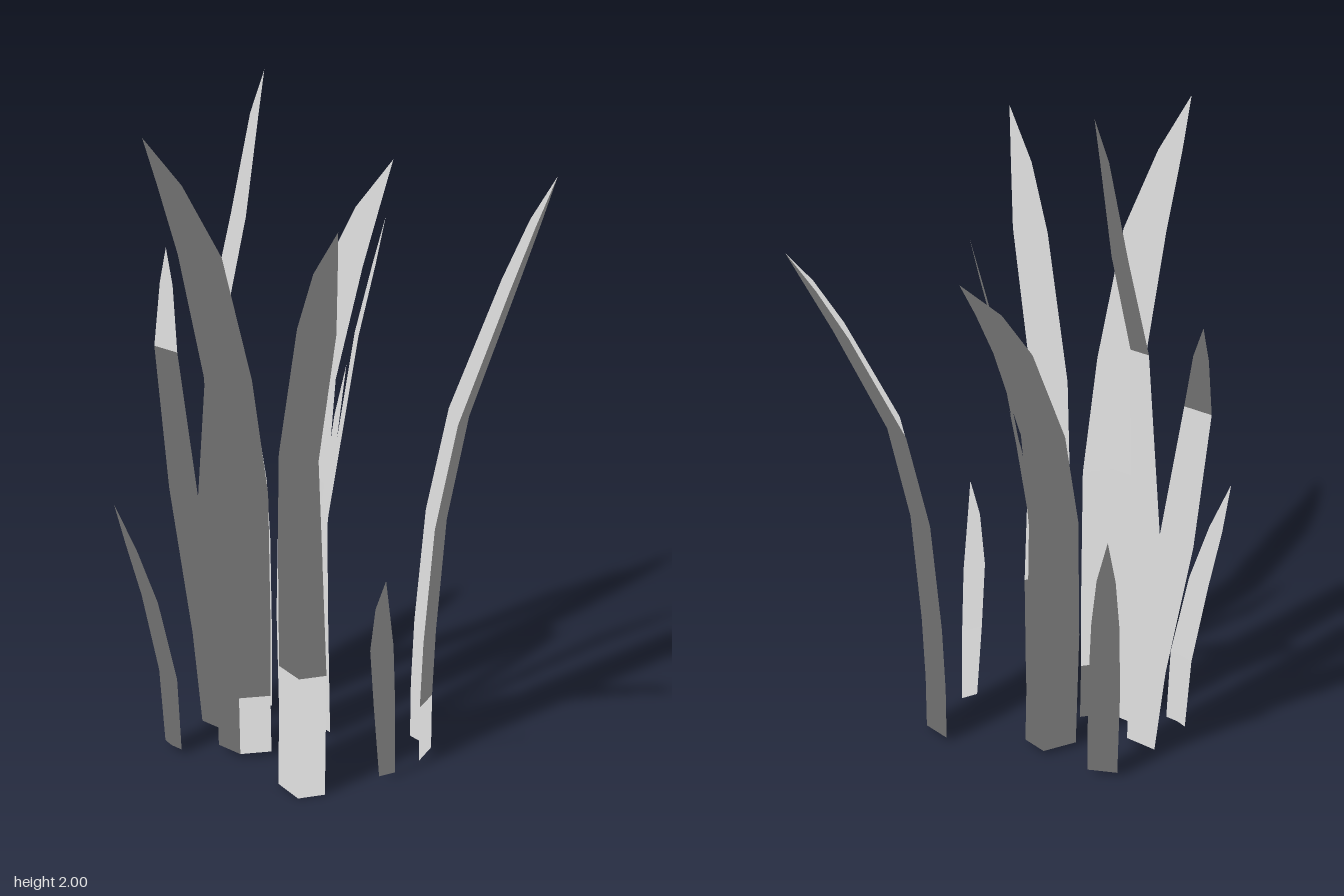
import * as THREE from 'three';

const material = new THREE.MeshStandardMaterial({ color: 0xcccccc, side: THREE.DoubleSide });

// A folded leaf: left and right are the [x, z] offsets of the edges from the fold,
// path lists the fold as [x, y, z, width scale], ending in a point.
// Normals point up for even foliage shading, tipped a little against the lean.
function blade(name, left, right, path) {
  const positions = [];
  const normals = [];
  const sections = path.map(([x, y, z, s]) => [
    new THREE.Vector3(x + left[0] * s, y, z + left[1] * s),
    new THREE.Vector3(x, y, z),
    new THREE.Vector3(x + right[0] * s, y, z + right[1] * s),
  ]);
  const edge1 = new THREE.Vector3();
  const edge2 = new THREE.Vector3();
  function triangle(a, b, c, normal) {
    // Wind each face so its front is the side that looks up
    const up = edge1.subVectors(b, a).cross(edge2.subVectors(c, a)).y >= 0;
    for (const p of up ? [a, b, c] : [a, c, b]) {
      positions.push(p.x, p.y, p.z);
      normals.push(normal.x, normal.y, normal.z);
    }
  }
  for (let i = 1; i < sections.length; i++) {
    const low = sections[i - 1];
    const high = sections[i];
    const lean = new THREE.Vector3().subVectors(high[1], low[1]).setY(0).normalize();
    const normal = new THREE.Vector3(0, 1, 0).addScaledVector(lean, -0.02).normalize();
    for (let k = 0; k < 2; k++) {
      triangle(low[k], low[k + 1], high[k + 1], normal);
      if (path[i][3] > 0) triangle(low[k], high[k + 1], high[k], normal);
    }
  }
  const geometry = new THREE.BufferGeometry();
  geometry.setAttribute('position', new THREE.Float32BufferAttribute(positions, 3));
  geometry.setAttribute('normal', new THREE.Float32BufferAttribute(normals, 3));
  const mesh = new THREE.Mesh(geometry, material);
  mesh.name = name;
  return mesh;
}

function fork(name, ...prongs) {
  const group = new THREE.Group();
  group.name = name;
  group.add(...prongs);
  return group;
}

export function createModel() {
  const grass = new THREE.Group();
  grass.name = 'grassTuft';

  // Four tall folded blades leaning outward
  grass.add(
    blade('frontLeftBlade', [-0.095, -0.025], [0.045, -0.065], [
      [0.174, 0, 0.31, 1], [0.175, 0.38, 0.305, 1], [0.18, 0.8, 0.32, 0.9], [0.2, 1.05, 0.345, 0.8],
      [0.335, 1.46, 0.43, 0.75], [0.405, 1.64, 0.475, 0.45], [0.477, 1.78, 0.507, 0]]),
    blade('frontBlade', [-0.085, 0], [0.06, -0.07], [
      [-0.1, 0.015, 0.249, 1], [-0.101, 0.2, 0.25, 1], [-0.097, 0.47, 0.252, 1], [-0.085, 0.85, 0.27, 1],
      [-0.086, 1.2, 0.31, 0.85], [-0.095, 1.57, 0.4, 0.75], [-0.115, 1.78, 0.48, 0.42], [-0.13, 1.92, 0.55, 0]]),
    blade('backBlade', [0.08, 0.015], [-0.05, 0.095], [
      [-0.06, 0.015, -0.033, 1], [-0.07, 0.4, -0.035, 1], [-0.09, 0.8, -0.06, 0.92], [-0.1, 1.1, -0.12, 0.8],
      [-0.101, 1.4, -0.25, 0.68], [-0.098, 1.55, -0.34, 0.45], [-0.085, 1.67, -0.425, 0]]),
    blade('backLeftBlade', [0.02, 0.085], [-0.09, -0.015], [
      [0.305, 0.015, -0.14, 1], [0.304, 0.19, -0.141, 1], [0.31, 0.4, -0.145, 1], [0.325, 0.75, -0.165, 0.95],
      [0.35, 1.05, -0.225, 0.9], [0.387, 1.4, -0.39, 0.72], [0.395, 1.56, -0.48, 0.48], [0.397, 1.68, -0.55, 0]]),
  );

  // Three short blades
  grass.add(
    blade('shortLeftBlade', [-0.012, 0.025], [0.01, -0.022], [
      [0.302, 0.015, 0.062, 1], [0.304, 0.25, 0.08, 1.3], [0.32, 0.45, 0.115, 1.4],
      [0.35, 0.6, 0.155, 0.8], [0.38, 0.7, 0.18, 0]]),
    blade('shortBackRightBlade', [-0.04, 0.02], [0.04, -0.02], [
      [-0.26, 0.015, -0.01, 1], [-0.265, 0.3, -0.015, 1.05], [-0.29, 0.55, -0.05, 0.9],
      [-0.315, 0.72, -0.085, 0.6], [-0.343, 0.87, -0.12, 0]]),
    blade('shortFrontRightBlade', [-0.035, -0.01], [0.04, 0], [
      [-0.29, 0.015, 0.34, 1], [-0.297, 0.25, 0.348, 1.1], [-0.325, 0.5, 0.385, 1],
      [-0.35, 0.67, 0.425, 0.65], [-0.37, 0.81, 0.462, 0]]),
  );

  // Flat forked leaf on the right
  grass.add(fork('rightForkedLeaf',
    blade('tallProng', [-0.05, 0], [0.05, 0], [
      [-0.245, 0.015, 0.174, 0.5], [-0.255, 0.3, 0.176, 0.7], [-0.265, 0.75, 0.177, 1], [-0.23, 1.3, 0.178, 0.62],
      [-0.212, 1.6, 0.1, 0.55], [-0.185, 1.88, 0.06, 0.3], [-0.165, 2, 0.04, 0]]),
    blade('shortProng', [-0.05, 0], [0.05, 0], [
      [-0.295, 0.015, 0.174, 0.5], [-0.32, 0.3, 0.176, 0.6], [-0.372, 0.75, 0.177, 1.15],
      [-0.427, 1.18, 0.178, 0.9], [-0.455, 1.36, 0.14, 0.5], [-0.472, 1.46, 0.12, 0]])));

  // Narrow forked leaf in the middle
  grass.add(fork('middleForkedLeaf',
    blade('shortProng', [-0.025, -0.015], [0.03, 0.015], [
      [0.055, 0.03, 0.127, 1], [0.062, 0.5, 0.125, 1], [0.055, 0.75, 0.06, 0.9],
      [0.023, 1.02, -0.04, 0.6], [0.01, 1.16, -0.1, 0]]),
    blade('tallProng', [-0.02, -0.012], [0.014, 0.012], [
      [0.1, 0.03, 0.137, 1], [0.102, 0.5, 0.135, 1], [0.114, 0.8, 0.11, 1], [0.116, 1, 0.06, 0.9],
      [0.125, 1.3, -0.005, 0.9], [0.15, 1.5, -0.048, 0.6], [0.165, 1.63, -0.075, 0]])));

  return grass;
}
